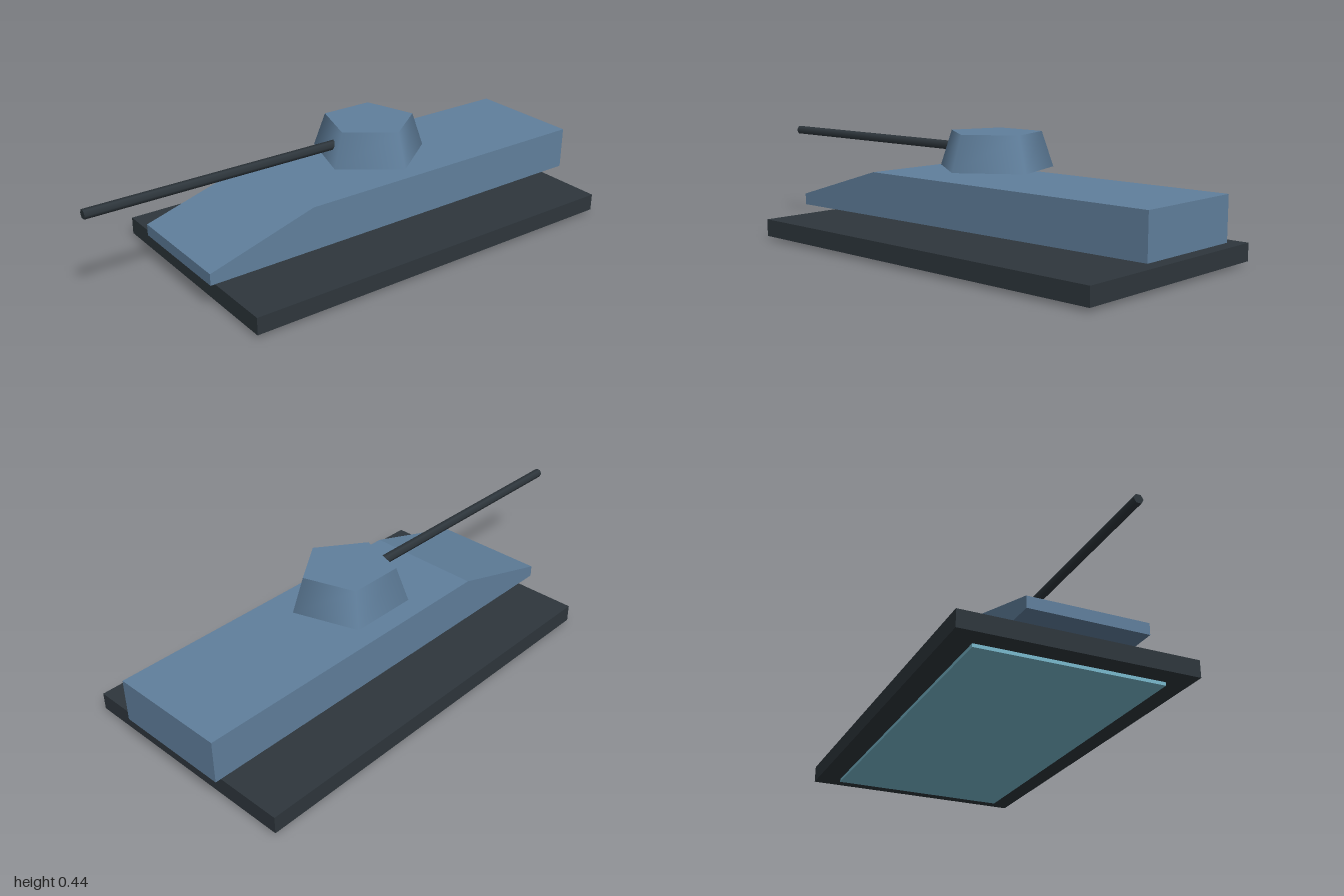
import * as THREE from 'three';

function material(name, color) {
  const m = new THREE.MeshStandardMaterial({ color });
  m.name = name;
  return m;
}

export function createModel() {
  const model = new THREE.Group();
  model.name = 'hoverTank';

  const blue = material('steel blue', 0x607f9c);
  const dark = material('dark grey', 0x2e363c);
  const cyan = material('pale cyan', 0x78b8cc);

  const add = (name, geometry, mat, x, y, z) => {
    const mesh = new THREE.Mesh(geometry, mat);
    mesh.name = name;
    mesh.position.set(x, y, z);
    model.add(mesh);
    return mesh;
  };

  // Glowing hover plate and the skirt above it
  add('hoverPlate', new THREE.BoxGeometry(0.716, 0.014, 1.425), cyan, 0, 0.007, -0.163);
  add('skirt', new THREE.BoxGeometry(0.895, 0.066, 1.585), dark, 0, 0.046, -0.163);

  // Hull: side profile (z, y) extruded across the width
  const profile = new THREE.Shape([
    [-1, 0.116], [0.672, 0.109], [0.672, 0.153], [0.25, 0.279], [-1, 0.279],
  ].map(([z, y]) => new THREE.Vector2(z, y)));
  const hull = new THREE.ExtrudeGeometry(profile, { depth: 0.454, bevelEnabled: false });
  hull.translate(0, 0, -0.227).rotateY(-Math.PI / 2);
  add('hull', hull, blue, 0, 0, 0);

  // Five-sided turret with one corner on the left
  add('turret', new THREE.CylinderGeometry(0.176, 0.221, 0.132, 5, 1, false, Math.PI / 2),
    blue, 0, 0.379, -0.166);

  // Six-sided gun barrel, corners to the sides
  const barrel = new THREE.CylinderGeometry(0.018, 0.018, 1.03, 6, 1, false, Math.PI / 2);
  barrel.rotateX(Math.PI / 2);
  add('gunBarrel', barrel, dark, 0, 0.379, 0.485);

  return model;
}
